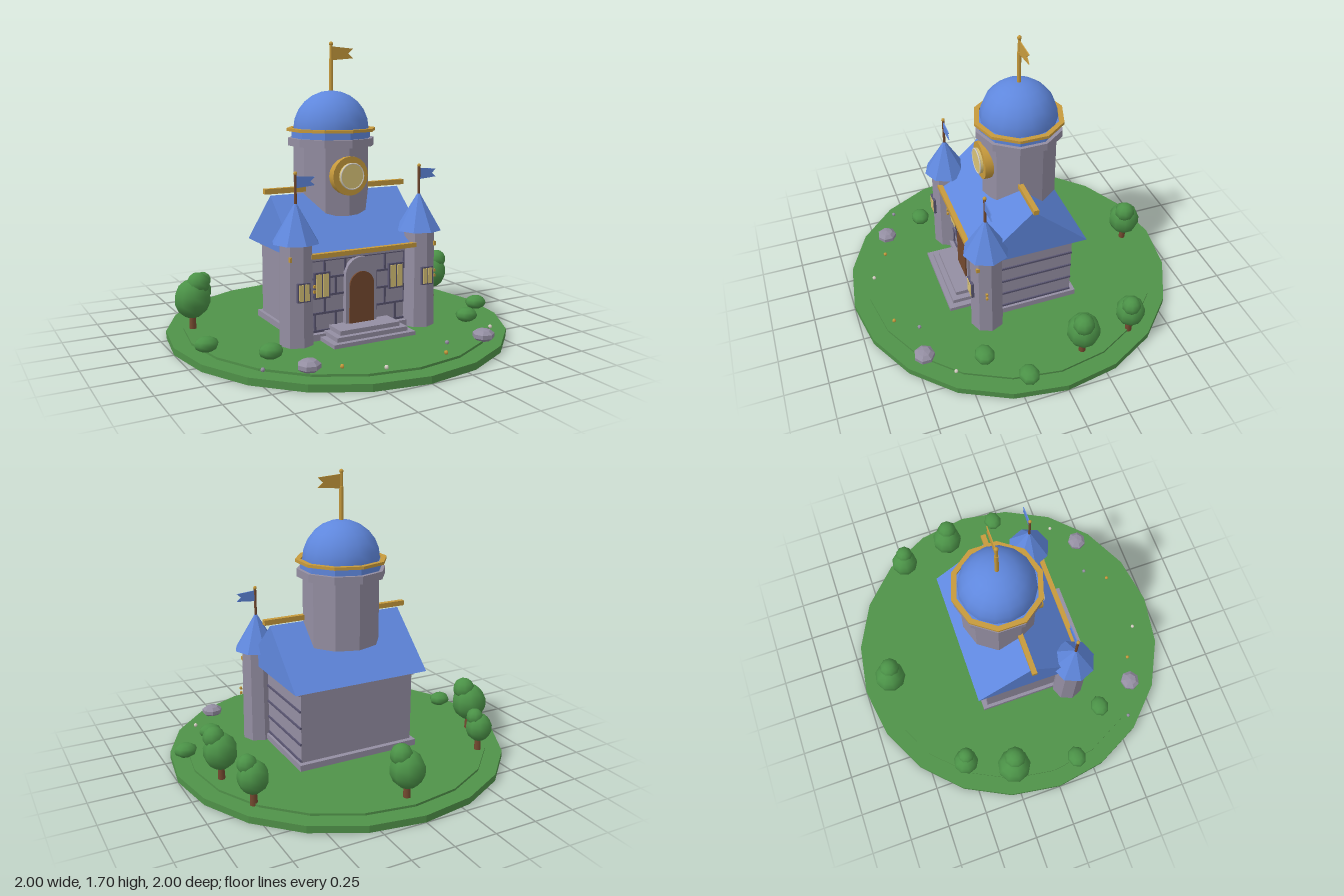
import * as THREE from 'three';

const mat = (name, color, extra = {}) => Object.assign(new THREE.MeshStandardMaterial({ color, ...extra }), { name });

export function createModel() {
  const grass = mat('grass green', 0x509249, { flatShading: true });
  const leaf = mat('leaf green', 0x4b9247);
  const stone = mat('stone grey', 0x948ea2, { flatShading: true });
  const mortar = mat('mortar purple', 0x5a5672);
  const blue = mat('roof blue', 0x5f87dd, { side: THREE.DoubleSide });
  const gold = mat('gold', 0xc79a3c, { side: THREE.DoubleSide });
  const brown = mat('wood brown', 0x74492f);
  const glass = mat('window yellow', 0xd9c377);
  const pale = mat('pale trim', 0xd6d0c4);

  const model = new THREE.Group();
  const add = (name, geo, m, x = 0, y = 0, z = 0, parent = model) => {
    const mesh = new THREE.Mesh(geo, m);
    mesh.name = name;
    mesh.position.set(x, y, z);
    parent.add(mesh);
    return mesh;
  };
  const group = (name, x = 0, y = 0, z = 0) => {
    const g = new THREE.Group();
    g.name = name;
    g.position.set(x, y, z);
    model.add(g);
    return g;
  };
  const box = (w, h, d) => new THREE.BoxGeometry(w, h, d);
  const cyl = (rt, rb, h, n) => new THREE.CylinderGeometry(rt, rb, h, n);
  const flat = (geo) => { const g = geo.toNonIndexed(); g.computeVertexNormals(); return g; };
  const extrude = (shape, depth, seg = 8) =>
    new THREE.ExtrudeGeometry(shape, { depth, bevelEnabled: false, curveSegments: seg });

  // Round lawn in two layers
  add('lawnBase', cyl(1, 1, 0.04, 20), grass, 0, 0.02, 0);
  add('lawnTop', cyl(0.9, 0.9, 0.02, 20), grass, 0, 0.043, 0);

  // Hall
  add('plinth', box(0.76, 0.04, 0.6), stone, 0, 0.07, 0);
  add('hallWalls', box(0.72, 0.48, 0.54), stone, 0, 0.29, 0);
  add('wallTop', box(0.74, 0.03, 0.56), stone, 0, 0.515, 0);
  const gable = new THREE.Shape([[-0.335, 0.53], [0.335, 0.53], [0, 0.835]].map(p => new THREE.Vector2(...p)));
  const roof = extrude(gable, 0.84);
  roof.translate(0, 0, -0.42);
  roof.rotateY(Math.PI / 2);
  add('hallRoof', roof, blue);
  add('ridgeBeam', box(0.915, 0.03, 0.03), gold, 0, 0.86, 0);
  add('eaveTrim', box(0.67, 0.025, 0.03), gold, 0, 0.542, 0.335);

  // Mortar lines: staggered on the front, plain courses on one side
  for (let r = 0; r < 5; r++) {
    const y = 0.1 + r * 0.1;
    add('frontCourse', box(0.66, 0.012, 0.012), mortar, 0, y, 0.272);
    add('sideCourse', box(0.012, 0.012, 0.54), mortar, 0.362, y, 0);
    if (r === 4) break;
    for (let i = 0; i < 5; i++) {
      const x = -0.28 + i * 0.13 + (r % 2) * 0.06;
      add('frontJoint', box(0.012, 0.1, 0.01), mortar, x, y + 0.05, 0.272);
    }
  }

  // Arched doorway and steps
  const arch = (w, y0, yc) => {
    const s = new THREE.Shape();
    s.moveTo(-w, y0);
    s.lineTo(w, y0);
    s.lineTo(w, yc);
    s.absarc(0, yc, w, 0, Math.PI, false);
    s.closePath();
    return s;
  };
  add('doorSurround', extrude(arch(0.1, 0.05, 0.4), 0.04), stone, 0, 0, 0.26);
  add('door', extrude(arch(0.078, 0.1, 0.34), 0.012), brown, 0, 0, 0.298);
  [[0.26, 0.465], [0.225, 0.435], [0.19, 0.405]].forEach(([w, z], i) =>
    add('step', box(w * 2, 0.026, z - 0.26), stone, 0, 0.062 + i * 0.025, (z + 0.26) / 2));

  // Framed window with a central bar
  const addWindow = (x, y, z, w, h) => {
    const g = group('window', x, y, z);
    add('windowFrame', box(w, h, 0.016), mortar, 0, 0, 0, g);
    for (const s of [-1, 1]) add('windowPane', box(w * 0.36, h * 0.86, 0.006), glass, s * w * 0.22, 0, 0.008, g);
  };

  // Swallow-tailed flag on a pole with a bead
  const addFlag = (name, x, y, z, h, r, len, tall, poleMat, flagMat) => {
    const g = group(name, x, y, z);
    add('pole', cyl(r, r, h, 8), poleMat, 0, h / 2, 0, g);
    add('bead', new THREE.SphereGeometry(r * 1.4, 8, 6), gold, 0, h, 0, g);
    const top = h - 0.015;
    const pts = [[0, top], [len, top - tall * 0.15], [len * 0.78, top - tall * 0.5], [len, top - tall * 0.85], [0, top - tall]];
    const shape = new THREE.Shape(pts.map(p => new THREE.Vector2(...p)).reverse());
    add('flag', extrude(shape, 0.006), flagMat, 0, 0, -0.003, g);
  };

  // Front corner turrets
  for (const s of [-1, 1]) {
    const x = s * 0.395, z = 0.275;
    add('turret', cyl(0.093, 0.099, 0.57, 8), stone, x, 0.335, z);
    add('turretRoof', flat(new THREE.ConeGeometry(0.133, 0.225, 8)), blue, x, 0.728, z);
    addFlag('turretFlag', x, 0.82, z, 0.17, 0.008, 0.115, 0.065, brown, blue);
    addWindow(x, 0.36, z + 0.095, 0.076, 0.105);
    addWindow(s * 0.24, 0.36, 0.28, 0.1, 0.15);
    add('turretStud', box(0.012, 0.025, 0.02), gold, s * 0.46, 0.54, 0.345);
    for (const y of [0.335, 0.365]) add('windowLatch', box(0.012, 0.015, 0.012), gold, x + 0.098, y, z + 0.03);
  }

  // Central ten-sided tower
  const tz = -0.063;
  add('clockTower', cyl(0.223, 0.223, 0.4, 10), stone, 0, 0.91, tz);
  add('towerCornice', cyl(0.256, 0.256, 0.045, 10), stone, 0, 1.122, tz);
  add('domeBase', flat(cyl(0.235, 0.235, 0.045, 10)), blue, 0, 1.165, tz);
  const ring = [[0.234, 1.184], [0.264, 1.184], [0.264, 1.201], [0.234, 1.201], [0.234, 1.184]];
  add('domeRing', flat(new THREE.LatheGeometry(ring.map(p => new THREE.Vector2(...p)), 10)), gold, 0, 0, tz);
  add('dome', new THREE.SphereGeometry(0.222, 16, 6, 0, Math.PI * 2, 0, Math.PI / 2), blue, 0, 1.195, tz);
  add('spireSleeve', cyl(0.012, 0.012, 0.2, 8), gold, 0, 1.5, tz);
  addFlag('spireFlag', 0, 1.4, tz, 0.285, 0.009, 0.145, 0.08, gold, gold);

  // Clock on the tower front
  const clock = group('clock', 0, 0.94, 0.15);
  const disc = (name, r, d, m, z) => { add(name, cyl(r, r, d, 20), m, 0, 0, z, clock).rotation.x = Math.PI / 2; };
  disc('clockRim', 0.112, 0.06, gold, -0.005);
  disc('clockFace', 0.075, 0.03, glass, 0.03);
  add('clockInnerRing', new THREE.TorusGeometry(0.073, 0.005, 6, 20), pale, 0, 0, 0.043, clock);

  // Trees: x, z, crown radius, crown height
  [[0, -0.81, 0.098, 0.215], [-0.68, -0.52, 0.078, 0.195], [-0.81, -0.245, 0.105, 0.23],
    [0.74, -0.49, 0.086, 0.2], [0.8, -0.165, 0.097, 0.22]].forEach(([x, z, r, y]) => {
    const g = group('tree', x, 0, z);
    add('trunk', cyl(0.016, 0.022, 0.12, 7), brown, 0, 0.1, 0, g);
    add('crown', new THREE.SphereGeometry(r, 9, 7), leaf, 0, y, 0, g).scale.y = 1.08;
    add('crownTop', new THREE.SphereGeometry(r * 0.64, 9, 7), leaf, r * 0.3, y + r * 0.83, r * 0.15, g);
  });

  // Bushes, rocks and flowers
  [[-0.87, 0.16], [-0.61, 0.42], [0.89, 0.195], [0.675, 0.385]].forEach(([x, z]) =>
    add('bush', new THREE.SphereGeometry(0.068, 8, 6), leaf, x, 0.09, z).scale.set(1, 0.62, 0.87));
  [[-0.515, 0.675], [0.55, 0.705]].forEach(([x, z]) =>
    add('rock', new THREE.SphereGeometry(0.066, 7, 5), stone, x, 0.078, z).scale.set(1, 0.55, 0.95));
  [[-0.725, 0.58, stone], [-0.355, 0.725, gold], [-0.165, 0.84, pale], [0.225, 0.805, gold],
    [0.325, 0.675, stone], [0.71, 0.565, pale]].forEach(([x, z, m]) =>
    add('flower', new THREE.SphereGeometry(0.012, 6, 5), m, x, 0.062, z));

  return model;
}
